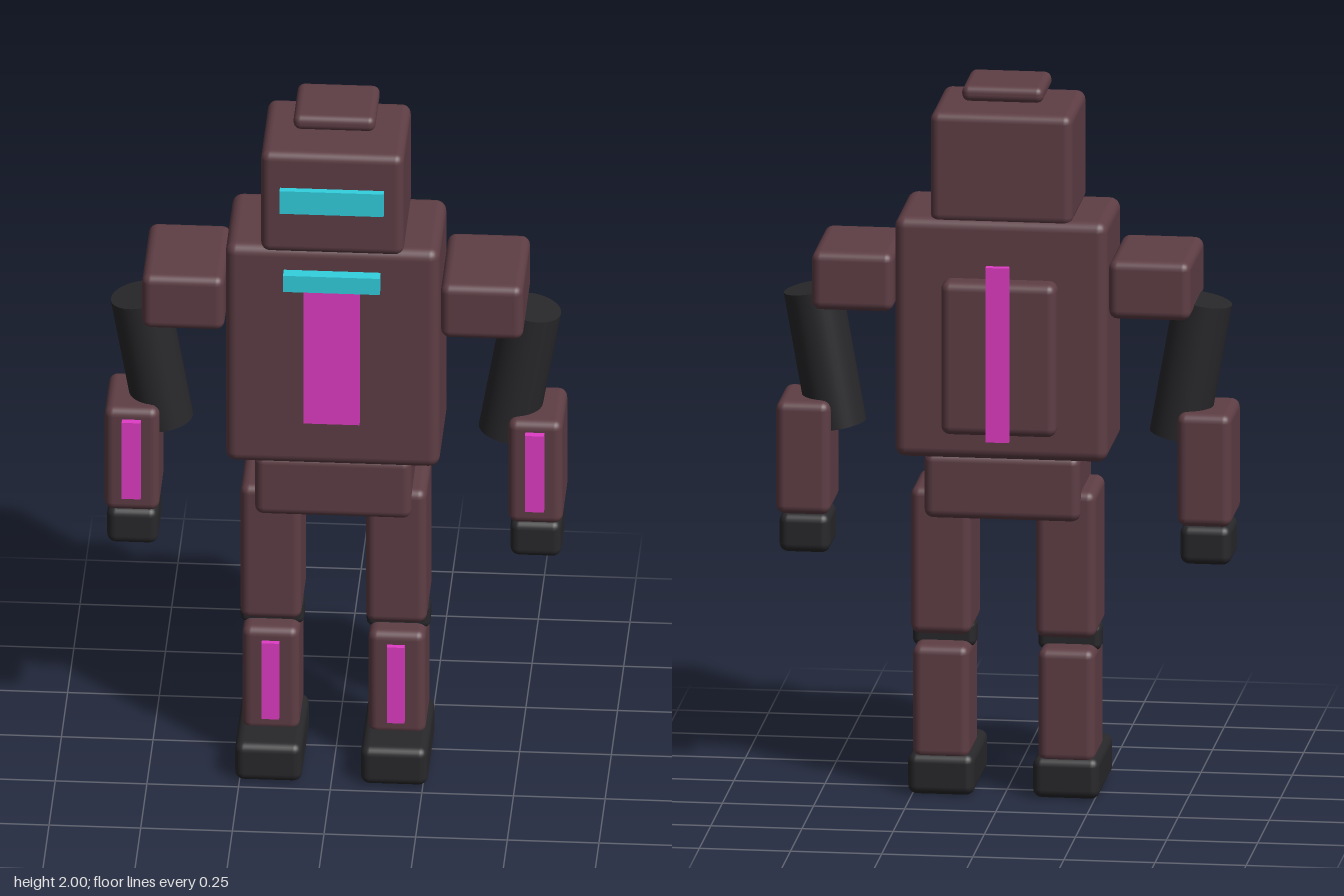
import * as THREE from 'three';
import { RoundedBoxGeometry } from 'three/addons/geometries/RoundedBoxGeometry.js';

const paint = (color) => new THREE.MeshStandardMaterial({ color });
const armour = paint(0x5e3e45);
const rubber = paint(0x28282b);
const cyan = paint(0x33d0e0);
const pink = paint(0xe03cc4);

export function createModel() {
  const robot = new THREE.Group();
  robot.name = 'robot';

  // Box given by its extents on each axis; radius 0 keeps the edges sharp
  function block(parent, name, material, [x0, x1], [y0, y1], [z0, z1], radius = 0.025) {
    const size = [x1 - x0, y1 - y0, z1 - z0];
    const geometry = radius > 0
      ? new RoundedBoxGeometry(...size, 3, radius)
      : new THREE.BoxGeometry(...size);
    const mesh = new THREE.Mesh(geometry, material);
    mesh.name = name;
    mesh.position.set((x0 + x1) / 2, (y0 + y1) / 2, (z0 + z1) / 2);
    parent.add(mesh);
    return mesh;
  }

  // Head
  const head = new THREE.Group();
  head.name = 'head';
  block(head, 'headShell', armour, [-0.195, 0.195], [1.62, 1.93], [-0.143, 0.177]);
  block(head, 'crownPlate', armour, [-0.112, 0.112], [1.955, 2], [-0.112, 0.092], 0.02);
  block(head, 'visor', cyan, [-0.142, 0.142], [1.755, 1.825], [0.16, 0.197], 0);
  robot.add(head);

  // Torso with chest lights and backpack
  const torso = new THREE.Group();
  torso.name = 'torso';
  block(torso, 'chest', armour, [-0.292, 0.292], [0.96, 1.635], [-0.15, 0.17], 0.03);
  block(torso, 'pelvis', armour, [-0.214, 0.214], [0.785, 0.97], [-0.128, 0.145]);
  block(torso, 'chestPanel', pink, [-0.076, 0.076], [1.105, 1.555], [0.16, 0.195], 0);
  block(torso, 'collarLight', cyan, [-0.132, 0.132], [1.517, 1.567], [0.165, 0.205], 0);
  block(torso, 'backpack', armour, [-0.158, 0.158], [1.04, 1.47], [-0.207, -0.12]);
  block(torso, 'backStrip', pink, [-0.032, 0.032], [1.03, 1.52], [-0.225, -0.203], 0);
  robot.add(torso);

  // Limbs, mirrored by side
  for (const [side, s] of [['left', 1], ['right', -1]]) {
    const span = (a, b) => (s > 0 ? [a, b] : [-b, -a]);

    const arm = new THREE.Group();
    arm.name = side + 'Arm';
    block(arm, 'shoulder', armour, span(0.295, 0.52), [1.365, 1.53], [-0.15, 0.17]);
    const upperArm = new THREE.Mesh(new THREE.CylinderGeometry(0.08, 0.08, 0.386, 32), rubber);
    upperArm.name = 'upperArm';
    upperArm.position.set(s * 0.502, 1.199, 0.015);
    upperArm.rotation.z = -s * 0.175;
    arm.add(upperArm);
    block(arm, 'forearm', armour, span(0.476, 0.625), [0.775, 1.092], [-0.096, 0.127]);
    block(arm, 'forearmStrip', pink, span(0.524, 0.576), [0.826, 1.062], [0.127, 0.147], 0);
    block(arm, 'hand', rubber, span(0.48, 0.62), [0.66, 0.77], [-0.062, 0.105]);
    robot.add(arm);

    const leg = new THREE.Group();
    leg.name = side + 'Leg';
    block(leg, 'thigh', armour, span(0.088, 0.254), [0.452, 0.865], [-0.1, 0.127]);
    block(leg, 'knee', rubber, span(0.085, 0.259), [0.398, 0.475], [-0.017, 0.053], 0.02);
    block(leg, 'shin', armour, span(0.094, 0.25), [0.1, 0.418], [-0.09, 0.113]);
    block(leg, 'shinStrip', pink, span(0.147, 0.195), [0.152, 0.387], [0.123, 0.139], 0);
    block(leg, 'foot', rubber, span(0.08, 0.263), [0, 0.115], [-0.096, 0.222]);
    robot.add(leg);
  }

  return robot;
}
